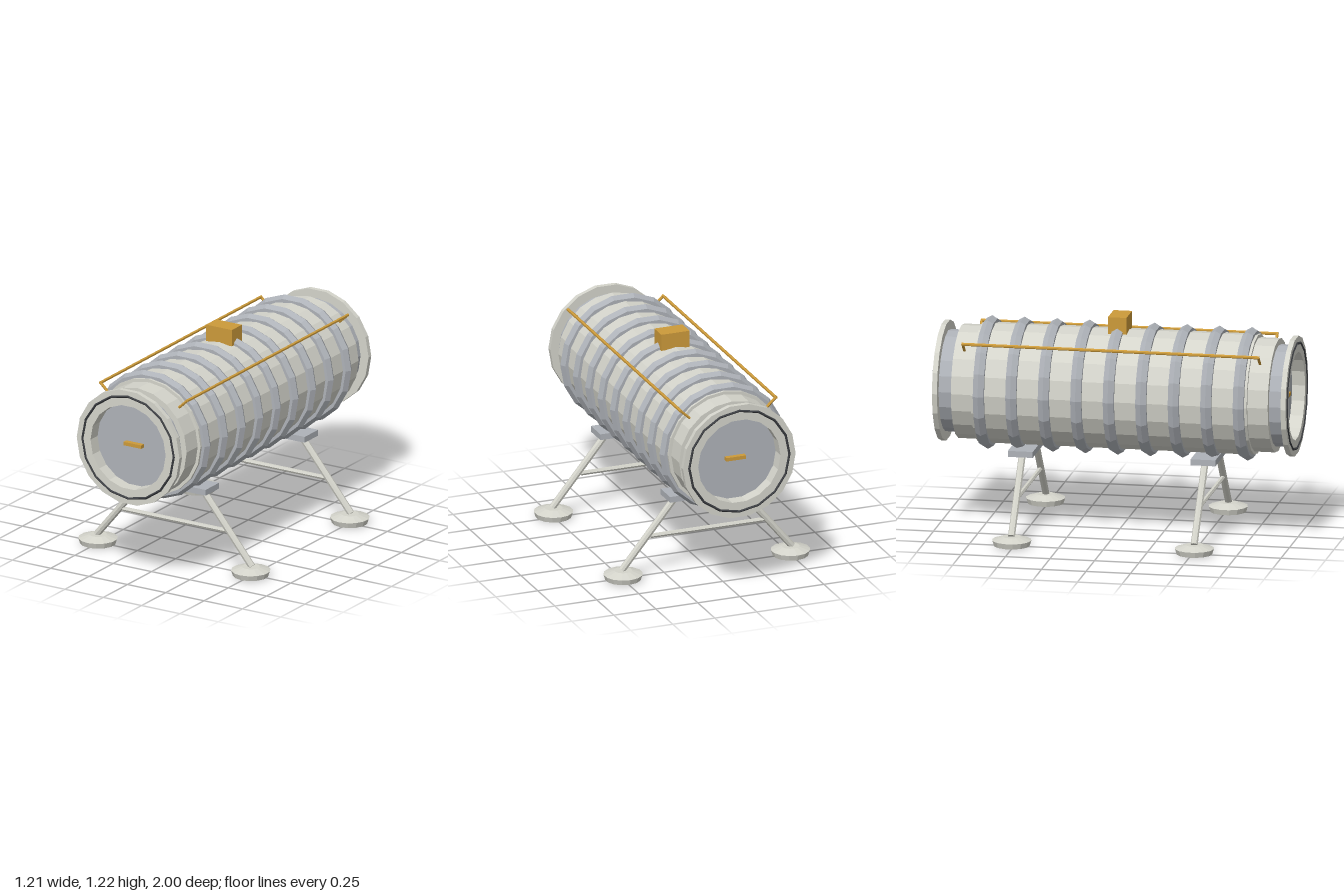
import * as THREE from 'three';

export function createModel() {
  const model = new THREE.Group();
  const mat = (name, color, side = THREE.FrontSide) => {
    const m = new THREE.MeshStandardMaterial({ color, side });
    m.name = name;
    return m;
  };
  const hull = mat('pale hull', 0xd4d4cb);
  const grey = mat('blue grey metal', 0xaeb2b8);
  const dark = mat('dark seal', 0x3c3e42);
  const gold = mat('ochre fittings', 0xcc9a3a);

  // Faceted normals
  const facet = (geo) => {
    const g = geo.index ? geo.toNonIndexed() : geo;
    g.computeVertexNormals();
    return g;
  };
  const add = (name, geo, material, x = 0, y = 0, z = 0, parent = model) => {
    const mesh = new THREE.Mesh(facet(geo), material);
    mesh.name = name;
    mesh.position.set(x, y, z);
    parent.add(mesh);
    return mesh;
  };
  // Round bar between two points
  const bar = (name, a, b, r, sides, material, parent = model) => {
    const p = new THREE.Vector3(...a), q = new THREE.Vector3(...b);
    const d = q.clone().sub(p);
    const mesh = add(name, new THREE.CylinderGeometry(r, r, d.length(), sides), material, 0, 0, 0, parent);
    mesh.position.copy(p).add(q).multiplyScalar(0.5);
    mesh.quaternion.setFromUnitVectors(new THREE.Vector3(0, 1, 0), d.normalize());
    return mesh;
  };
  // Profile of [radius, z] points turned around the long axis
  const turned = (points, sides) =>
    new THREE.LatheGeometry(points.map(([r, z]) => new THREE.Vector2(r, z)), sides, Math.PI / 2)
      .rotateX(Math.PI / 2);

  const axisY = 0.8;

  // Stepped barrel
  add('barrel', turned([
    [0, -0.89], [0.317, -0.89], [0.317, -0.775], [0.335, -0.775],
    [0.335, 0.775], [0.317, 0.775], [0.317, 0.89], [0, 0.89],
  ], 20), hull, 0, axisY, 0);

  // Ridge hoops
  for (let i = -4; i <= 4; i++) {
    add('hoop', new THREE.TorusGeometry(0.335, 0.035, 6, 18), grey, 0, axisY, i * 0.1825);
  }

  // Matching docking ends
  for (const s of [1, -1]) {
    const end = new THREE.Group();
    end.name = s > 0 ? 'frontEnd' : 'backEnd';
    end.position.y = axisY;
    end.rotation.y = s > 0 ? 0 : Math.PI;
    model.add(end);
    add('neck', turned([[0.283, 0.88], [0.283, 0.97]], 20), grey, 0, 0, 0, end);
    add('flange', turned([
      [0.28, 0.965], [0.335, 0.965], [0.335, 0.993], [0.245, 0.993], [0.245, 0.915],
    ], 18), hull, 0, 0, 0, end);
    add('seal', new THREE.TorusGeometry(0.298, 0.009, 4, 16), dark, 0, 0, 0.991, end);
    add('hatch', new THREE.CircleGeometry(0.247, 18), grey, 0, 0, 0.92, end);
    add('hatchHandle', new THREE.BoxGeometry(0.116, 0.02, 0.03), gold, 0, 0, 0.934, end);
  }

  // Roof box
  add('roofBox', new THREE.BoxGeometry(0.168, 0.095, 0.104), gold, 0, 1.1725, 0);

  // Hand rails with bent ends
  for (const s of [1, -1]) {
    const rail = new THREE.Group();
    rail.name = s > 0 ? 'leftRail' : 'rightRail';
    model.add(rail);
    bar('railBar', [s * 0.282, 1.078, -0.835], [s * 0.282, 1.078, 0.835], 0.009, 6, gold, rail);
    for (const z of [-0.83, 0.83]) {
      bar('railEnd', [s * 0.23, 1.03, z], [s * 0.284, 1.08, z], 0.008, 6, gold, rail);
    }
  }

  // Two leg frames
  const foot = [[0, 0], [0.1, 0.003], [0.11, 0.034], [0.05, 0.054], [0, 0.054]]
    .map(([r, y]) => new THREE.Vector2(r, y));
  for (const z of [0.513, -0.513]) {
    const frame = new THREE.Group();
    frame.name = z > 0 ? 'frontLegs' : 'backLegs';
    frame.position.z = z;
    model.add(frame);
    add('saddle', new THREE.BoxGeometry(0.494, 0.034, 0.14), grey, 0, 0.458, 0, frame);
    bar('upperBrace', [-0.19, 0.432, 0], [0.19, 0.432, 0], 0.012, 6, hull, frame);
    bar('lowerBrace', [-0.335, 0.233, 0], [0.335, 0.233, 0], 0.013, 6, hull, frame);
    for (const s of [1, -1]) {
      bar('leg', [s * 0.18, 0.45, 0], [s * 0.505, 0.055, 0], 0.02, 8, hull, frame);
      add('foot', new THREE.LatheGeometry(foot, 14), hull, s * 0.498, 0, 0, frame);
    }
  }

  return model;
}
